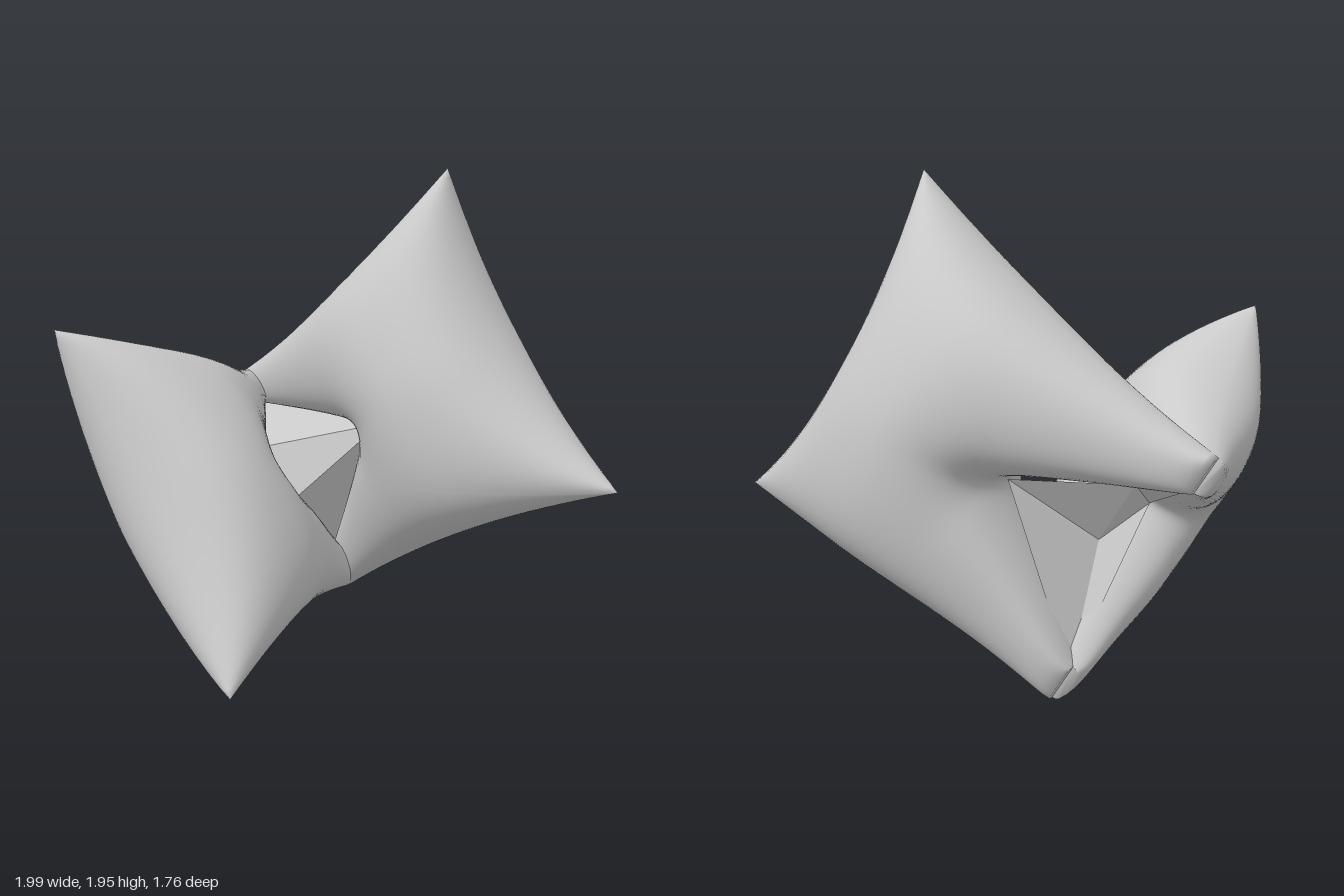
import * as THREE from 'three';

const lerp = THREE.MathUtils.lerp;
const material = new THREE.MeshStandardMaterial({ color: 0xcccccc, side: THREE.DoubleSide });

// Fold line shared by both cushions
const fold = new THREE.Vector3(-0.68, 0.478, -0.56);
const along = new THREE.Vector3(0.53, -0.848, 0).normalize();
const foldHalf = 0.57, notchHalf = 0.42, notchRound = 0.06;

// Inflated cushion with a notch opening at the fold; u runs away from the fold, v along it
function cushion(name, { end, half, notch, sideSag, endSag, puffFront, puffBack }) {
  const uAxis = end.clone().sub(fold);
  const length = uAxis.length();
  uAxis.normalize();
  const normal = new THREE.Vector3().crossVectors(uAxis, along).normalize();

  const width = (u) => {
    const t = u / length;
    return lerp(foldHalf, half, t) - 4 * sideSag * t * (1 - t);
  };
  const endAt = (v) => length - endSag * (1 - (v / half) ** 2);

  // Notch edge and outer edge, both from one fold tip to the other
  const inner = (s) => {
    const v = lerp(-1, 1, s) * Math.sqrt(notchHalf ** 2 - notchRound ** 2);
    return [notch * (1 - Math.hypot(v, notchRound) / notchHalf), v];
  };
  const corner = 0.36;
  const outer = (s) => {
    if (s > 1 - corner) {
      const [u, v] = outer(1 - s);
      return [u, -v];
    }
    if (s < corner) {
      const u = length * s / corner;
      return [u, -width(u)];
    }
    const v = half * lerp(-1, 1, (s - corner) / (1 - 2 * corner));
    return [endAt(v), v];
  };

  // Height falls to zero at every edge and tapers to points at the outer corners
  const height = (u, v) => {
    const inv = (d) => 1 / Math.max(d, 1e-5);
    const w = width(u);
    const fromNotch = Math.hypot(v, notchRound) - notchHalf * (1 - u / notch)
      + 3 * Math.max(0, u - notch * 0.85) ** 2;
    const sum = inv(w - v) + inv(w + v) + inv(endAt(v) - u) + 0.55 * inv(fromNotch) + 2 * inv(u + 0.012);
    const taper = 0.52 + 0.48 * THREE.MathUtils.smoothstep(u, 0, 1);
    const toCorner = Math.hypot(length - u, half - Math.hypot(v, 0.1) + 0.006);
    const point = Math.pow(Math.tanh(1.2 * toCorner), 0.42);
    return taper * point * Math.pow(1 / sum, 0.55);
  };

  // Closed lens-shaped cross-sections
  const rows = 150, ring = 64, positions = [], index = [];
  for (let i = 0; i <= rows; i++) {
    const a = inner(i / rows), b = outer(i / rows);
    for (let j = 0; j < ring; j++) {
      const angle = j / ring * Math.PI * 2;
      const t = (1 - Math.cos(angle)) / 2;
      const u = lerp(a[0], b[0], t), v = lerp(a[1], b[1], t);
      const puff = j < ring / 2 ? puffFront : -puffBack;
      const h = j % (ring / 2) === 0 ? 0 : height(u, v) * puff;
      const p = fold.clone().addScaledVector(uAxis, u).addScaledVector(along, v).addScaledVector(normal, h);
      positions.push(p.x, p.y, p.z);
      if (i < rows) {
        const k = i * ring + j, n = i * ring + (j + 1) % ring;
        index.push(k, k + ring, n, n, k + ring, n + ring);
      }
    }
  }
  // Small caps on the two fold tips
  for (let j = 1; j < ring - 1; j++) {
    const last = rows * ring;
    index.push(0, j, j + 1, last, last + j + 1, last + j);
  }
  const geometry = new THREE.BufferGeometry();
  geometry.setAttribute('position', new THREE.Float32BufferAttribute(positions, 3));
  geometry.setIndex(index);
  geometry.computeVertexNormals();
  const mesh = new THREE.Mesh(geometry, material);
  mesh.name = name;
  mesh.userData.apex = fold.clone().addScaledVector(uAxis, inner(0.5)[0]);
  return mesh;
}

// Faceted web closing the opening between the notches
function web(apexA, apexB) {
  const across = new THREE.Vector3(0.848, 0.53, 0);
  const mid = (v) => fold.clone().addScaledVector(across, 0.24).addScaledVector(along, v).add(new THREE.Vector3(0, 0, 0.45));
  const tip = (v) => fold.clone().addScaledVector(along, v);
  const m0 = mid(-0.14), m1 = mid(0.14), t0 = tip(-0.44), t1 = tip(0.44);
  const points = [];
  for (const apex of [apexA, apexB]) points.push(apex, m0, m1, apex, t0, m0, apex, m1, t1);
  const geometry = new THREE.BufferGeometry().setFromPoints(points);
  geometry.computeVertexNormals();
  const mesh = new THREE.Mesh(geometry, material);
  mesh.name = 'innerWeb';
  return mesh;
}

export function createModel() {
  const model = new THREE.Group();
  model.name = 'foldedCushions';
  const back = cushion('backCushion', {
    end: new THREE.Vector3(0.59, 1.3, -0.43), half: 0.75, notch: 0.7,
    sideSag: 0.06, endSag: 0.15, puffFront: 1.49, puffBack: 1.47,
  });
  const front = cushion('frontCushion', {
    end: new THREE.Vector3(-0.38, 0.685, 0.87), half: 0.77, notch: 0.87,
    sideSag: 0.08, endSag: 0.07, puffFront: 1.4, puffBack: 1.08,
  });
  model.add(back, front, web(back.userData.apex, front.userData.apex));
  return model;
}
